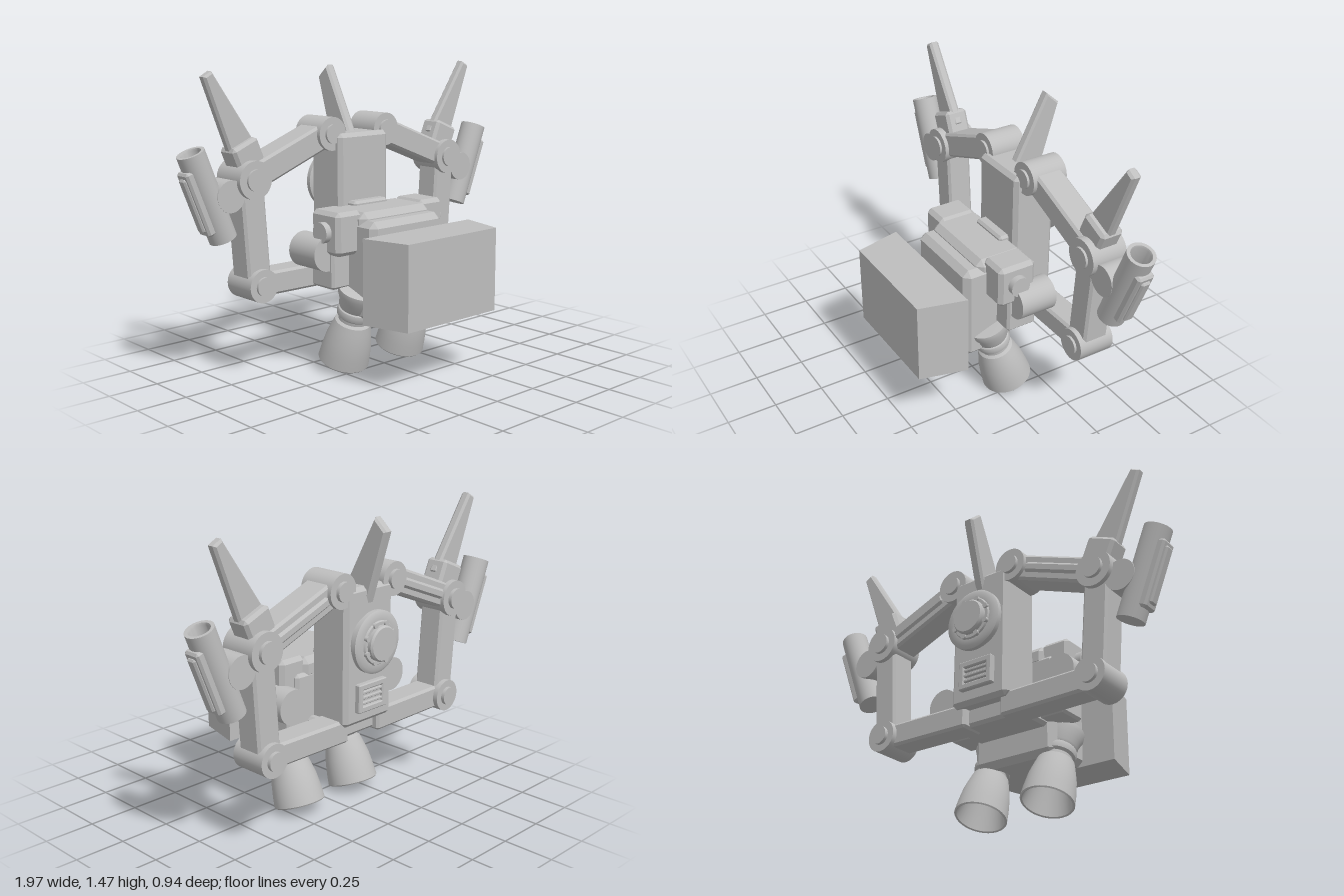
import * as THREE from 'three';
import { ConvexGeometry } from 'three/addons/geometries/ConvexGeometry.js';
import { toCreasedNormals } from 'three/addons/utils/BufferGeometryUtils.js';

const grey = new THREE.MeshStandardMaterial({ color: 0xbebebe, side: THREE.DoubleSide });
grey.name = 'light grey';

export function createModel() {
  const model = new THREE.Group();

  function add(name, geo, x = 0, y = 0, z = 0, parent = model) {
    const m = new THREE.Mesh(geo, grey);
    m.name = name;
    m.position.set(x, y, z);
    parent.add(m);
    return m;
  }

  // Box with chamfered edges, centred on the origin
  function chamferBox(w, h, d, c = 0.015) {
    const pts = [];
    for (const a of [-1, 1]) for (const b of [-1, 1]) for (const e of [-1, 1]) {
      const x = a * w / 2, y = b * h / 2, z = e * d / 2;
      pts.push(new THREE.Vector3(x, y - b * c, z - e * c),
        new THREE.Vector3(x - a * c, y, z - e * c),
        new THREE.Vector3(x - a * c, y - b * c, z));
    }
    return new ConvexGeometry(pts);
  }

  // Chamfered box given by its extents
  function block(name, x0, x1, y0, y1, z0, z1, c, parent) {
    return add(name, chamferBox(x1 - x0, y1 - y0, z1 - z0, c),
      (x0 + x1) / 2, (y0 + y1) / 2, (z0 + z1) / 2, parent);
  }

  // Cylinder lying along z between two depths
  function drum(name, x, y, r, z0, z1, parent) {
    const g = new THREE.CylinderGeometry(r, r, z1 - z0, 40);
    g.rotateX(Math.PI / 2);
    return add(name, g, x, y, (z0 + z1) / 2, parent);
  }

  // Arm bar between two joints in the xy plane
  function bar(name, a, b, w, z0, z1, parent) {
    const dx = b[0] - a[0], dy = b[1] - a[1];
    const m = add(name, chamferBox(Math.hypot(dx, dy), w, z1 - z0, 0.012),
      (a[0] + b[0]) / 2, (a[1] + b[1]) / 2, (z0 + z1) / 2, parent);
    m.rotation.z = Math.atan2(dy, dx);
    return m;
  }

  // Thin bevelled plate from an outline
  function plate(points, t) {
    const s = new THREE.Shape(points.map(p => new THREE.Vector2(...p)));
    const g = new THREE.ExtrudeGeometry(s, {
      depth: t - 0.024, bevelEnabled: true, bevelSize: 0.01, bevelOffset: -0.01,
      bevelThickness: 0.012, bevelSegments: 1
    });
    g.translate(0, 0, -(t - 0.024) / 2);
    return g;
  }

  const lathe = pts => toCreasedNormals(
    new THREE.LatheGeometry(pts.map(p => new THREE.Vector2(...p)), 40), 0.6);

  // Floating front block, narrower toward the front
  const shield = new THREE.Shape();
  shield.moveTo(-0.35, -0.235);
  shield.lineTo(0.35, -0.235);
  shield.lineTo(0.29, -0.47);
  shield.lineTo(-0.29, -0.47);
  const shieldGeo = new THREE.ExtrudeGeometry(shield, { depth: 0.405, bevelEnabled: false });
  shieldGeo.rotateX(-Math.PI / 2);
  add('frontBlock', shieldGeo, 0, 0.325, 0);

  // Torso
  block('torso', -0.23, 0.23, 0.285, 0.775, -0.1, 0.175, 0.03);
  block('torsoLid', -0.225, 0.225, 0.7, 0.81, -0.16, 0.1, 0.03);
  block('torsoCore', -0.27, 0.27, 0.44, 0.74, -0.16, 0.0, 0.015);
  block('topStep', -0.11, 0.11, 0.79, 0.83, -0.17, -0.09, 0.012);

  // Rear column with its vent and round hatch
  block('column', -0.16, 0.16, 0.5, 1.16, -0.365, -0.14, 0.02);
  block('columnFoot', -0.2, 0.2, 0.42, 0.52, -0.3, -0.08, 0.015);
  const vent = new THREE.Group();
  vent.name = 'vent';
  model.add(vent);
  block('ventBack', -0.09, 0.09, 0.57, 0.7, -0.375, -0.35, 0.004, vent);
  for (const s of [-1, 1]) {
    block('ventSide', s * 0.08 - 0.015, s * 0.08 + 0.015, 0.565, 0.705, -0.392, -0.355, 0.005, vent);
    block('ventRail', -0.09, 0.09, 0.635 + s * 0.055 - 0.015, 0.635 + s * 0.055 + 0.015, -0.392, -0.355, 0.005, vent);
  }
  for (let i = -1; i <= 1; i++)
    block('ventSlat', -0.07, 0.07, 0.628 + i * 0.026, 0.642 + i * 0.026, -0.388, -0.37, 0.003, vent);

  const hatch = lathe([[0, 0.35], [0.13, 0.35], [0.13, 0.38], [0.15, 0.388], [0.15, 0.41],
    [0.135, 0.42], [0.105, 0.42], [0.1, 0.428], [0.085, 0.428], [0.085, 0.446], [0.078, 0.455], [0, 0.455]]);
  hatch.rotateX(-Math.PI / 2);
  add('rearHatch', hatch, 0, 0.9, 0);
  for (let i = 0; i < 8; i++) {
    const a = (i + 0.5) * Math.PI / 4;
    drum('hatchBolt', 0.095 * Math.cos(a), 0.9 + 0.095 * Math.sin(a), 0.013, -0.437, -0.41);
  }

  // Backswept centre fin
  const fin = plate([[0.22, 1.13], [0.4, 1.48], [0.468, 1.42], [0.365, 1.08]], 0.054);
  fin.rotateY(Math.PI / 2);
  add('centreFin', fin);

  // Everything that repeats on the left and right
  function buildSide(s) {
    const side = new THREE.Group();
    side.name = s > 0 ? 'leftSide' : 'rightSide';
    model.add(side);
    const shoulder = [s * 0.175, 1.16], elbow = [s * 0.635, 0.98], hand = [s * 0.6, 0.475];

    // Torso shoulder pod, knob and tank
    const x = s * 0.27;
    block('shoulderPod', x - 0.078, x + 0.078, 0.61, 0.82, -0.14, 0.06, 0.02, side);
    const knob = new THREE.CylinderGeometry(0.05, 0.05, 0.06, 32);
    knob.rotateZ(Math.PI / 2);
    add('knob', knob, s * 0.35, 0.72, -0.035, side);
    block('hipBlock', s * 0.27 - 0.06, s * 0.27 + 0.06, 0.44, 0.64, -0.16, 0.0, 0.012, side);
    drum('tank', s * 0.34, 0.617, 0.085, -0.21, -0.02, side);

    // Jointed arm
    for (const [name, p, r] of [['shoulder', shoulder, 0.082], ['elbow', elbow, 0.09], ['lower', hand, 0.08]]) {
      drum(name + 'Joint', p[0], p[1], r, -0.36, -0.175, side);
      drum(name + 'Cap', p[0], p[1], r * 0.57, -0.378, -0.163, side);
    }
    bar('upperArm', shoulder, elbow, 0.125, -0.34, -0.195, side);
    bar('upperArmRail', [s * 0.25, 1.13], [s * 0.56, 1.01], 0.05, -0.352, -0.32, side);
    bar('foreArm', elbow, hand, 0.13, -0.335, -0.2, side);
    bar('lowerArm', [s * 0.1, 0.47], hand, 0.115, -0.335, -0.2, side);

    // Elbow fin and its socket
    const pts = [[0.705, 1.06], [0.855, 1.455], [0.81, 1.48], [0.565, 1.12], [0.6, 1.03]];
    add('elbowFin', plate(pts.map(p => [s * p[0], p[1]]), 0.052), 0, 0, -0.268, side);
    const socket = add('finSocket', chamferBox(0.15, 0.13, 0.12, 0.015), s * 0.64, 1.09, -0.27, side);
    socket.rotation.z = -s * 0.4;

    // Tilted side launcher, open at the top
    drum('launcherMount', s * 0.755, 0.915, 0.075, -0.335, -0.2, side);
    const launcher = new THREE.Group();
    launcher.name = 'launcher';
    launcher.position.set(s * 0.843, 0.918, -0.267);
    launcher.rotation.z = -s * 0.375;
    side.add(launcher);
    add('launcherTube', lathe([[0, -0.22], [0.066, -0.22], [0.066, 0.22], [0.05, 0.22],
      [0.046, 0.21], [0.046, 0.06], [0, 0.06]]), 0, 0, 0, launcher);
    add('launcherPlate', chamferBox(0.05, 0.32, 0.088, 0.01), s * 0.058, -0.005, 0, launcher);
    add('launcherStrip', chamferBox(0.03, 0.27, 0.05, 0.008), s * 0.08, -0.005, 0, launcher);

    // Swept thruster under the torso
    const thruster = add('thruster', lathe([[0, 0.19], [0.07, 0.19], [0.095, 0.1], [0.115, 0.005],
      [0.121, 0], [0.126, 0.006], [0.122, 0.06], [0.113, 0.13], [0.098, 0.19], [0.088, 0.225], [0.074, 0.235],
      [0.074, 0.25], [0.086, 0.26], [0.09, 0.28], [0.086, 0.295], [0.08, 0.3], [0.086, 0.31],
      [0.092, 0.345], [0.105, 0.375], [0.105, 0.4], [0, 0.405]]), s * 0.19, 0.05, -0.092, side);
    thruster.rotation.x = 0.33;
  }
  buildSide(1);
  buildSide(-1);
  return model;
}
